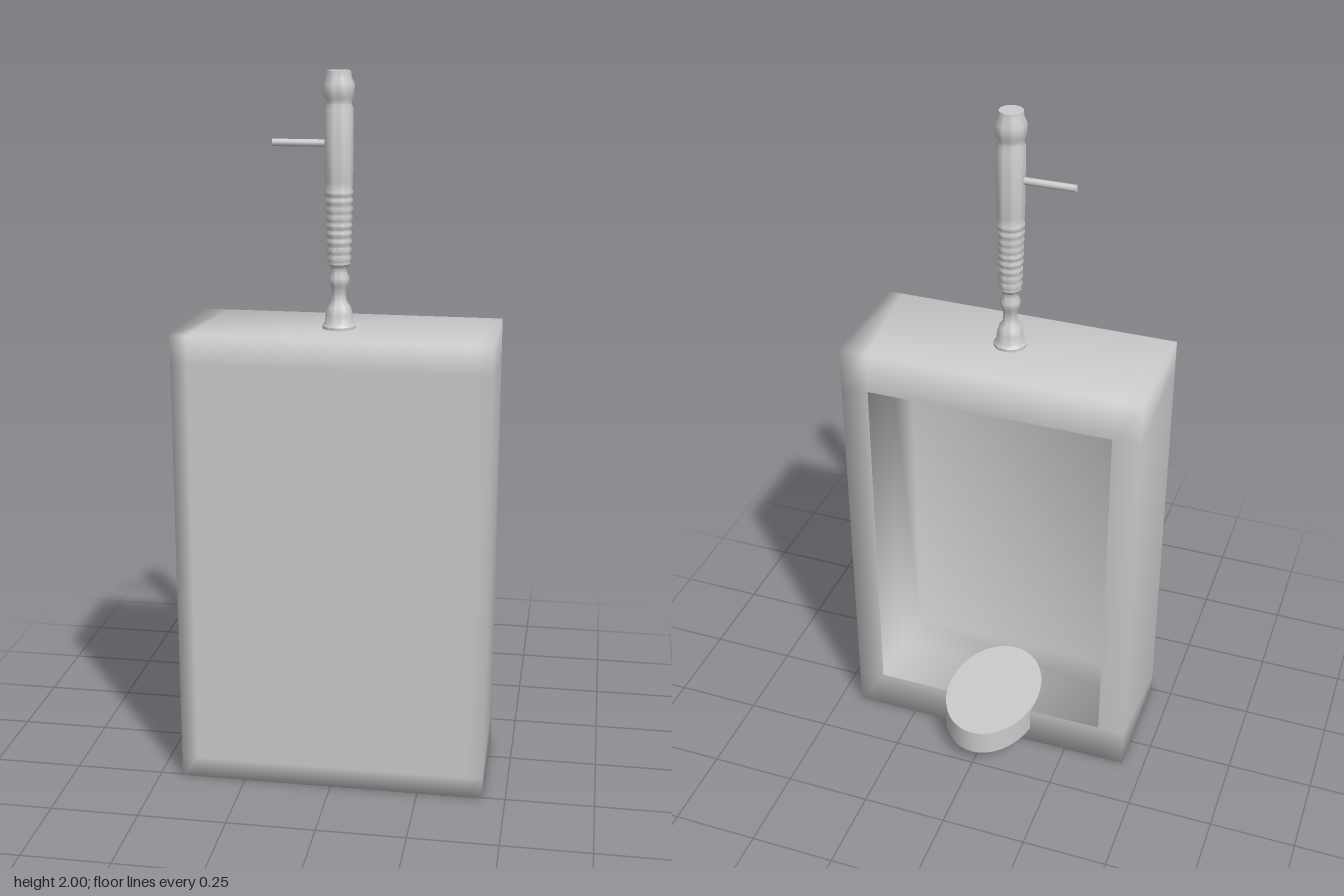
import * as THREE from 'three';
import { mergeVertices, toCreasedNormals } from 'three/addons/utils/BufferGeometryUtils.js';

const grey = new THREE.MeshStandardMaterial({ color: 0xcccccc });
const greyThin = new THREE.MeshStandardMaterial({ color: 0xcccccc, side: THREE.DoubleSide });

// Opening of the bowl, in the back plane of the body
const OPEN = { x: 0.355, y0: 0.125, y1: 1.19, z: -0.1 };

function add(group, name, geometry, material = grey) {
  const mesh = new THREE.Mesh(geometry, material);
  mesh.name = name;
  group.add(mesh);
  return mesh;
}

// Smooth-shaded box grid with one quad left out; place() maps grid cells to positions
function openBox(nx, ny, nz, missingQuad, place) {
  let g = new THREE.BoxGeometry(nx, ny, nz, nx, ny, nz);
  const index = Array.from(g.index.array);
  index.splice(missingQuad * 6, 6);
  g.setIndex(index);
  g.deleteAttribute('uv');
  g.deleteAttribute('normal');
  g = mergeVertices(g);
  const p = g.attributes.position;
  for (let i = 0; i < p.count; i++) {
    const cell = [p.getX(i) + nx / 2, p.getY(i) + ny / 2, p.getZ(i) + nz / 2].map(Math.round);
    p.setXYZ(i, ...place(...cell));
  }
  g.computeVertexNormals();
  return g;
}

// Outer body: support loops near the edges, rectangular hole in the -z side
function bodyGeometry() {
  return openBox(3, 3, 1, 25, (cx, cy, cz) => {
    const back = cz === 0;
    const x = back ? OPEN.x : 0.39;
    const xs = [-0.435, -x, x, 0.435];
    const ys = [0, back ? OPEN.y0 : 0.06, back ? OPEN.y1 : 1.23, 1.31];
    return [xs[cx], ys[cy], back ? OPEN.z : 0.255];
  });
}

// Hollow of the bowl: straight walls that draw in towards the inner panel
function hollowGeometry() {
  const zs = [OPEN.z, 0.06, 0.175];
  return openBox(1, 1, 2, 9, (cx, cy, cz) => {
    const inset = cz === 2 ? 0.018 : 0;
    const x = OPEN.x - inset;
    return [cx ? x : -x, cy ? OPEN.y1 - inset : OPEN.y0 + inset / 3, zs[cz]];
  });
}

// Turned flush pipe: bell foot, collar, ribbed neck, plain barrel, cap
function pipeGeometry() {
  const pts = [
    [0, 1.305], [0.046, 1.305], [0.046, 1.318], [0.039, 1.326], [0.037, 1.35], [0.031, 1.37],
    [0.021, 1.385], [0.019, 1.405], [0.022, 1.425], [0.028, 1.435], [0.028, 1.45],
    [0.022, 1.465], [0.023, 1.478], [0.031, 1.488]
  ];
  const ribs = 9;
  for (let i = 0; i < ribs; i++) {
    const y = 1.495 + i * 0.022, r = 0.03 + i * 0.0007;
    pts.push([r, y], [r + 0.003, y + 0.006], [r + 0.003, y + 0.012], [r, y + 0.018]);
  }
  pts.push([0.038, 1.71], [0.039, 1.9], [0.034, 1.915], [0.034, 1.92], [0.041, 1.932],
    [0.042, 1.965], [0.034, 1.982], [0.032, 2], [0, 2]);
  const g = new THREE.LatheGeometry(pts.map(([r, y]) => new THREE.Vector2(r, y)), 28);
  return toCreasedNormals(g, 0.7);
}

export function createModel() {
  const model = new THREE.Group();
  model.name = 'urinal';

  add(model, 'body', bodyGeometry(), greyThin);
  add(model, 'bowlHollow', hollowGeometry(), greyThin);

  // Oval lip through the lower edge of the opening
  const lip = add(model, 'lip', new THREE.CylinderGeometry(1, 1, 0.08, 48));
  lip.scale.set(0.141, 1, 0.205);
  lip.position.set(0, 0.092, -0.05);

  const valve = new THREE.Group();
  valve.name = 'flushValve';
  valve.position.z = 0.09;
  model.add(valve);
  add(valve, 'flushPipe', pipeGeometry());

  const lever = add(valve, 'flushLever', new THREE.CylinderGeometry(0.01, 0.01, 0.16, 16));
  lever.rotation.z = Math.PI / 2;
  lever.position.set(-0.1, 1.81, 0);

  return model;
}
